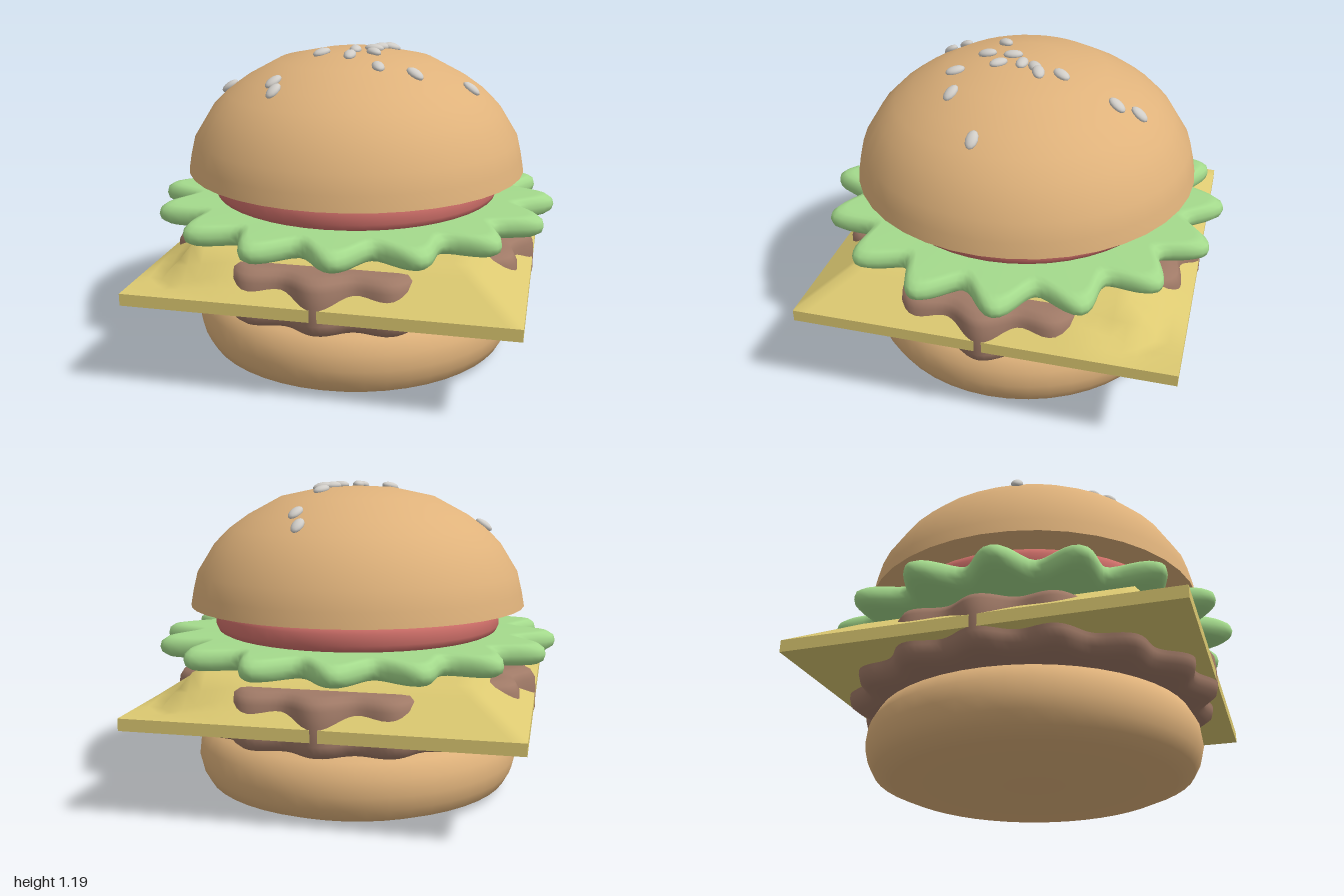
import * as THREE from 'three';
import { mergeVertices, toCreasedNormals } from 'three/addons/utils/BufferGeometryUtils.js';

const material = (name, color) => {
  const m = new THREE.MeshStandardMaterial({ color });
  m.name = name;
  return m;
};

const lathe = (points, segments) =>
  new THREE.LatheGeometry(points.map(([r, y]) => new THREE.Vector2(r, y)), segments);

// Disc with a scalloped rim: the radius swells and shrinks around the axis
function wavyDisc(points, lobes, depth, phase) {
  let geo = lathe(points, 192);
  const p = geo.attributes.position;
  for (let i = 0; i < p.count; i++) {
    const x = p.getX(i), z = p.getZ(i);
    const k = 1 + depth * Math.cos(lobes * (Math.atan2(z, x) - phase));
    p.setX(i, x * k);
    p.setZ(i, z * k);
  }
  geo.deleteAttribute('uv');
  geo.deleteAttribute('normal');
  geo = mergeVertices(geo, 1e-5);
  geo.computeVertexNormals();
  return geo;
}

// Dome of the top bun, rim to crown
const DOME = [[0.655, 0.725], [0.645, 0.78], [0.628, 0.85], [0.56, 0.96], [0.5, 1.02],
  [0.43, 1.07], [0.3, 1.14], [0.14, 1.174], [0, 1.18]];

// Height and slope of the dome at a radius
function domeAt(r) {
  for (let i = DOME.length - 1; i > 0; i--) {
    const [r0, y0] = DOME[i], [r1, y1] = DOME[i - 1];
    if (r <= r1) {
      const slope = (y1 - y0) / (r1 - r0);
      return { y: y0 + slope * (r - r0), slope };
    }
  }
  return { y: DOME[0][1], slope: 0 };
}

// Height of the draped cheese slice
function cheeseHeight(x, z) {
  const ax = Math.abs(x), az = Math.abs(z), s = ax + az;
  if (s < 0.715) return 0.52 + 0.018 * THREE.MathUtils.clamp((0.715 - s) / 0.42, 0, 1);
  const slope = (start) => 0.39 + 0.13 * THREE.MathUtils.clamp((start - s) / (start - 0.714), 0, 1);
  const side = THREE.MathUtils.smoothstep(ax / s, 0.75, 1);
  return THREE.MathUtils.lerp(slope(1), slope(0.857), side);
}

export function createModel() {
  const model = new THREE.Group();
  model.name = 'burger';
  const bun = material('toasted bun', 0xdfb27b);
  const meat = material('cooked meat', 0xa07a67);
  const yellow = material('cheese yellow', 0xdcc971);
  const green = material('lettuce green', 0xa4da8c);
  const red = material('tomato red', 0xd0706a);
  const pale = material('seed grey', 0xd0cdc8);

  const add = (name, geometry, mat, parent = model) => {
    const mesh = new THREE.Mesh(geometry, mat);
    mesh.name = name;
    parent.add(mesh);
    return mesh;
  };

  // Bottom bun
  add('bottomBun', toCreasedNormals(lathe([[0, 0.005], [0.53, 0.005], [0.6, 0.035], [0.625, 0.08], [0.637, 0.13],
    [0.63, 0.19], [0.6, 0.245], [0.53, 0.275], [0, 0.275]], 48), 0.8), bun);

  // Patty with a lumpy rim that pokes through the cheese
  add('patty', wavyDisc([[0, 0.275], [0.61, 0.275], [0.65, 0.28], [0.676, 0.3], [0.684, 0.33], [0.684, 0.4],
    [0.68, 0.45], [0.665, 0.475], [0.635, 0.488], [0.6, 0.49], [0, 0.49]], 16, 0.037, 0), meat);

  // Cheese slice: draped top, straight rim and flat underside
  const cheese = new THREE.Group();
  cheese.name = 'cheese';
  model.add(cheese);
  const top = new THREE.PlaneGeometry(Math.SQRT2, Math.SQRT2, 28, 28).rotateX(-Math.PI / 2).rotateY(Math.PI / 4);
  const p = top.attributes.position;
  for (let i = 0; i < p.count; i++) p.setY(i, cheeseHeight(p.getX(i), p.getZ(i)));
  top.computeVertexNormals();
  add('cheeseTop', top, yellow, cheese);
  const rim = new THREE.CylinderGeometry(1, 1, 0.045, 4, 1, true).translate(0, 0.3675, 0);
  add('cheeseRim', toCreasedNormals(rim, 0.5), yellow, cheese);
  add('cheeseUnderside', new THREE.CircleGeometry(1, 4).rotateX(Math.PI / 2).translate(0, 0.345, 0), yellow, cheese);

  // Frilled lettuce leaf
  add('lettuce', wavyDisc([[0, 0.543], [0.66, 0.543], [0.69, 0.547], [0.712, 0.562], [0.718, 0.583],
    [0.712, 0.605], [0.69, 0.62], [0.66, 0.624], [0, 0.624]], 16, 0.085, -0.1), green);

  // Tomato slice
  add('tomato', toCreasedNormals(lathe([[0, 0.62], [0.53, 0.62], [0.55, 0.63], [0.559, 0.65], [0.559, 0.69],
    [0.55, 0.712], [0.53, 0.722], [0, 0.722]], 48), 0.8), red);

  // Top bun
  add('topBun', toCreasedNormals(lathe([[0, 0.725], ...DOME], 40), 0.8), bun);

  // Sesame seeds: x, z and heading in degrees
  const seeds = new THREE.Group();
  seeds.name = 'seeds';
  model.add(seeds);
  const seedGeo = new THREE.SphereGeometry(1, 12, 8).scale(0.037, 0.016, 0.023);
  const spots = [[-0.4, -0.29, -35], [0.4, -0.23, 30], [0.365, -0.155, 20], [0.185, -0.035, 12],
    [-0.155, 0, 0], [-0.39, 0.05, 5], [-0.42, 0.105, 15], [-0.03, 0.04, 55], [-0.1, 0.11, 45],
    [0, 0.12, 90], [0.05, 0.05, -45], [0.1, 0.025, -10], [0.14, 0.035, -25], [-0.075, 0.26, 70],
    [0.035, 0.335, -70], [0.265, 0.375, -50]];
  const up = new THREE.Vector3(0, 1, 0);
  for (const [x, z, deg] of spots) {
    const r = Math.hypot(x, z), { y, slope } = domeAt(r);
    const normal = new THREE.Vector3(-slope * x / r, 1, -slope * z / r).normalize();
    const seed = add('seed', seedGeo, pale, seeds);
    seed.position.set(x, y + 0.005, z);
    seed.quaternion.setFromUnitVectors(up, normal)
      .multiply(new THREE.Quaternion().setFromAxisAngle(up, THREE.MathUtils.degToRad(deg)));
  }
  return model;
}
